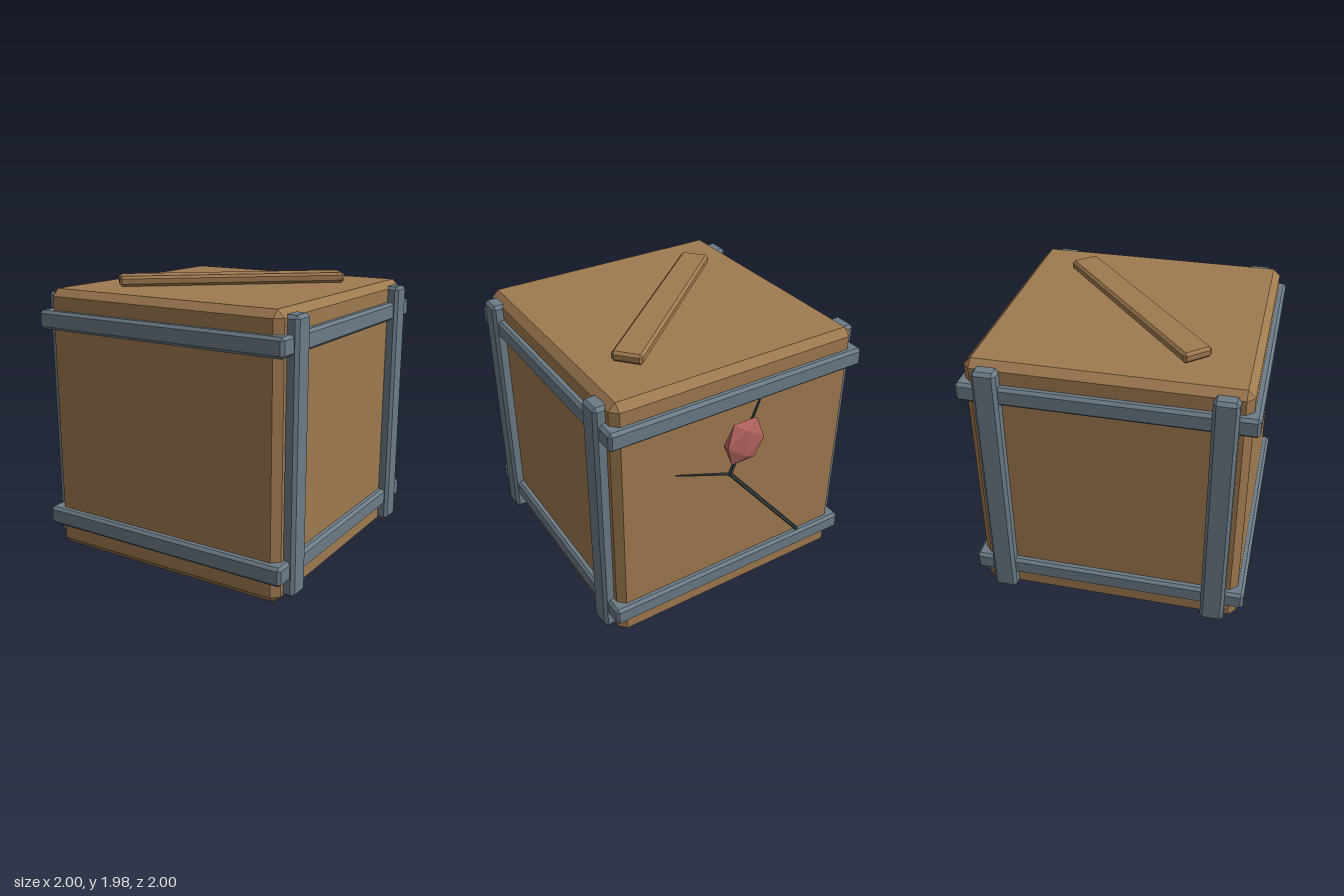
import * as THREE from 'three';
import { ConvexGeometry } from 'three/addons/geometries/ConvexGeometry.js';

const material = (color) => new THREE.MeshStandardMaterial({ color, flatShading: true });
const wood = material(0x9f7a50);
const metal = material(0x6c7b86);
const gemRed = material(0xb5655f);
const darkStem = material(0x35403f);

// Box whose twelve edges are cut by a flat chamfer
function chamferedBox(w, h, d, b) {
  const points = [];
  for (const x of [-1, 1]) for (const y of [-1, 1]) for (const z of [-1, 1]) {
    const [hx, hy, hz] = [w / 2, h / 2, d / 2];
    points.push(
      new THREE.Vector3(x * hx, y * (hy - b), z * (hz - b)),
      new THREE.Vector3(x * (hx - b), y * hy, z * (hz - b)),
      new THREE.Vector3(x * (hx - b), y * (hy - b), z * hz));
  }
  return new ConvexGeometry(points);
}

// Thin tapered rod between two points
function rod(from, to, r0, r1) {
  const a = new THREE.Vector3(...from), b = new THREE.Vector3(...to);
  const dir = b.clone().sub(a);
  const mesh = new THREE.Mesh(new THREE.CylinderGeometry(r1, r0, dir.length(), 5), darkStem);
  mesh.position.copy(a).add(b).multiplyScalar(0.5);
  mesh.quaternion.setFromUnitVectors(new THREE.Vector3(0, 1, 0), dir.normalize());
  return mesh;
}

export function createModel() {
  const group = new THREE.Group();
  const add = (mesh, name, x, y, z) => {
    mesh.name = name;
    if (x !== undefined) mesh.position.set(x, y, z);
    group.add(mesh);
    return mesh;
  };

  // Crate body
  add(new THREE.Mesh(chamferedBox(1.85, 1.9, 1.85, 0.05), wood), 'crateBody', 0, 0.95, 0.025);

  // Bands running around the whole crate
  const band = chamferedBox(1.945, 0.132, 1.945, 0.02);
  add(new THREE.Mesh(band, metal), 'lowerBand', 0, 0.228, 0.028);
  add(new THREE.Mesh(band, metal), 'upperBand', 0, 1.687, 0.028);

  // Upright straps passing through the crate, showing on both sides
  const strap = chamferedBox(2, 1.825, 0.165, 0.022);
  add(new THREE.Mesh(strap, metal), 'frontStrap', 0, 0.953, 0.788);
  add(new THREE.Mesh(strap, metal), 'backStrap', 0, 0.953, -0.732);

  // Diagonal plank on the lid
  const plank = add(new THREE.Mesh(chamferedBox(1.62, 0.072, 0.21, 0.018), wood),
    'lidPlank', 0, 1.939, 0.025);
  plank.rotation.y = 0.722;

  // Branching stem on the back
  const fork = [0.085, 1.11, -0.938];
  add(rod([-0.56, 0.33, -0.938], fork, 0.016, 0.016), 'lowerStem');
  add(rod(fork, [-0.15, 1.7, -0.938], 0.016, 0.007), 'upperStem');
  add(rod(fork, [0.51, 1.27, -0.938], 0.011, 0.006), 'sideBranch');

  // Flattened gem on the stem
  const gem = add(new THREE.Mesh(new THREE.IcosahedronGeometry(1, 0), gemRed), 'gem', 0, 1.36, -0.96);
  gem.scale.set(0.17, 0.188, 0.046);

  return group;
}
